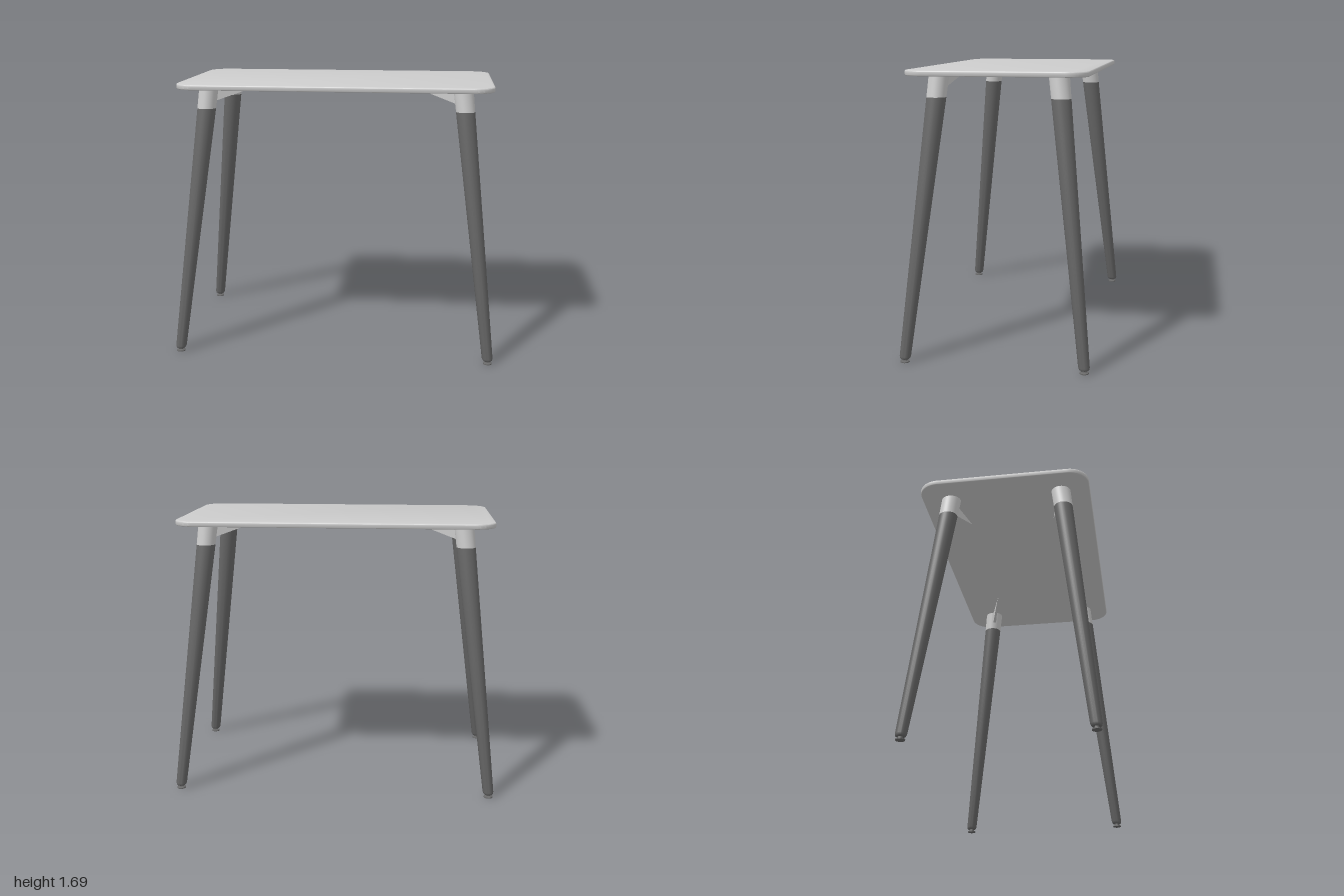
import * as THREE from 'three';
import { toCreasedNormals } from 'three/addons/utils/BufferGeometryUtils.js';

const light = new THREE.MeshStandardMaterial({ color: 0xcccccc });
const dark = new THREE.MeshStandardMaterial({ color: 0x686868 });

const TOP_Y = 1.655; // underside of the table top
const SLOPE_X = 0.118, SLOPE_Z = 0.11; // splay of the legs
const FOOT_X = 0.967, FOOT_Z = 0.527;

function part(name, geometry, material) {
  const mesh = new THREE.Mesh(geometry, material);
  mesh.name = name;
  return mesh;
}

// Round profile of [radius, height] points with creased edges
function turned(points) {
  const profile = points.map(([r, y]) => new THREE.Vector2(r, y));
  return toCreasedNormals(new THREE.LatheGeometry(profile, 32), 0.6);
}

// Rounded rectangle with a softened rim
function tableTop() {
  const bevel = 0.009, w = 0.955 - bevel, d = 0.523 - bevel, r = 0.115;
  const s = new THREE.Shape();
  s.absarc(w - r, d - r, r, 0, Math.PI / 2);
  s.absarc(-w + r, d - r, r, Math.PI / 2, Math.PI);
  s.absarc(-w + r, -d + r, r, Math.PI, Math.PI * 1.5);
  s.absarc(w - r, -d + r, r, Math.PI * 1.5, Math.PI * 2);
  const g = new THREE.ExtrudeGeometry(s, {
    depth: 0.032 - 2 * bevel, bevelSize: bevel, bevelThickness: bevel,
    bevelSegments: 4, curveSegments: 12,
  });
  g.rotateX(-Math.PI / 2).translate(0, TOP_Y + bevel, 0);
  return part('tableTop', toCreasedNormals(g, 0.6), light);
}

// Triangular brace, thinning towards its tip
function brace() {
  const length = 0.291, thick = 0.024;
  const s = new THREE.Shape();
  s.moveTo(0.015, 1.563);
  s.lineTo(length, TOP_Y - 0.002);
  s.lineTo(length, TOP_Y);
  s.lineTo(0.015, TOP_Y);
  const g = new THREE.ExtrudeGeometry(s, { depth: thick, bevelEnabled: false });
  g.translate(0, 0, -thick / 2);
  const p = g.attributes.position;
  for (let i = 0; i < p.count; i++) p.setZ(i, p.getZ(i) * (1 - 0.75 * p.getX(i) / length));
  g.computeVertexNormals();
  return part('brace', g, light);
}

function legAssembly(sx, sz, name) {
  const group = new THREE.Group();
  group.name = name;

  // Lean towards the middle while keeping level joints
  const lean = new THREE.Matrix4().set(
    1, -sx * SLOPE_X, 0, sx * FOOT_X,
    0, 1, 0, 0,
    0, -sz * SLOPE_Z, 1, sz * FOOT_Z,
    0, 0, 0, 1);
  const leg = turned([[0, 0.02], [0.024, 0.02], [0.029, 0.024], [0.033, 0.036], [0.057, 1.53], [0, 1.53]]);
  const collar = turned([[0, 1.53], [0.057, 1.53], [0.059, TOP_Y], [0, TOP_Y]]);
  group.add(part('leg', leg.applyMatrix4(lean), dark));
  group.add(part('collar', collar.applyMatrix4(lean), light));

  // Levelling foot
  const foot = part('foot', turned([[0, 0], [0.027, 0], [0.027, 0.006], [0.014, 0.011], [0.014, 0.024]]), dark);
  foot.position.set(sx * (FOOT_X - 0.002), 0, sz * (FOOT_Z - 0.002));
  group.add(foot);

  // Brace runs inward under the top
  const b = brace();
  b.position.set(sx * 0.78, 0, sz * 0.35);
  b.rotation.y = Math.atan2(sz * 0.08, -sx * 0.28);
  group.add(b);
  return group;
}

export function createModel() {
  const model = new THREE.Group();
  model.name = 'table';
  model.add(tableTop());
  for (const [sx, side] of [[1, 'Left'], [-1, 'Right']])
    for (const [sz, end] of [[1, 'front'], [-1, 'back']])
      model.add(legAssembly(sx, sz, `${end}${side}Leg`));
  return model;
}
